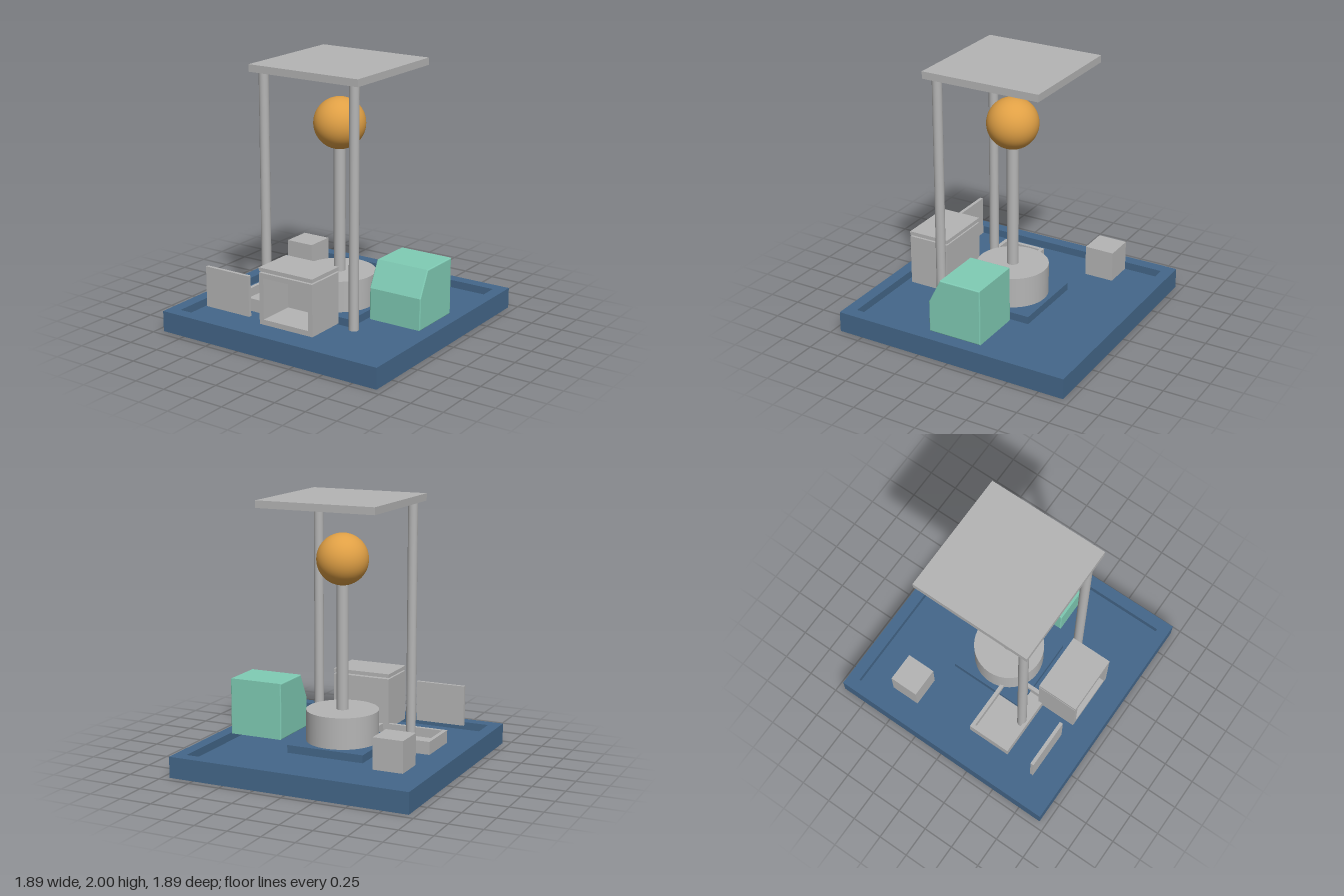
import * as THREE from 'three';

const material = (name, color) => {
  const m = new THREE.MeshStandardMaterial({ color });
  m.name = name;
  return m;
};

export function createModel() {
  const model = new THREE.Group();
  const blue = material('slate blue', 0x44678a);
  const grey = material('light grey', 0xb5b5b5);
  const mint = material('mint green', 0x80ccb5);
  const amber = material('amber', 0xe0a045);

  const add = (name, geometry, mat, parent = model) => {
    const mesh = new THREE.Mesh(geometry, mat);
    mesh.name = name;
    parent.add(mesh);
    return mesh;
  };
  const group = (name) => {
    const g = new THREE.Group();
    g.name = name;
    model.add(g);
    return g;
  };
  // Box given by its limits on each axis
  const box = (name, mat, [x0, x1], [y0, y1], [z0, z1], parent) =>
    add(name, new THREE.BoxGeometry(x1 - x0, y1 - y0, z1 - z0), mat, parent)
      .position.set((x0 + x1) / 2, (y0 + y1) / 2, (z0 + z1) / 2);
  const column = (name, r, y0, y1, x = 0, z = 0) =>
    add(name, new THREE.CylinderGeometry(r, r, y1 - y0, 40), grey).position.set(x, (y0 + y1) / 2, z);
  const rect = (Type, x0, x1, y0, y1) => new Type(
    [[x0, y0], [x1, y0], [x1, y1], [x0, y1]].map(([x, y]) => new THREE.Vector2(x, y)));
  // Rectangular rim, extruded along z from 0
  const frame = (outer, inner, depth) => {
    const shape = rect(THREE.Shape, ...outer);
    shape.holes.push(rect(THREE.Path, ...inner));
    return new THREE.ExtrudeGeometry(shape, { depth, bevelEnabled: false });
  };

  // Base with a sunken floor
  const base = group('base');
  const B = 0.945, R = 0.853;
  add('baseRim', frame([-B, B, -B, B], [-R, R, -R, R], 0.16).rotateX(-Math.PI / 2), blue, base);
  box('baseFloor', blue, [-R, R], [0, 0.1], [-R, R], base);
  box('plinth', blue, [-0.31, 0.31], [0.1, 0.16], [-0.31, 0.31], base);

  // Central pedestal, pole and ball
  column('pedestal', 0.275, 0.16, 0.4);
  column('pole', 0.045, 0.4, 1.35);
  add('ball', new THREE.SphereGeometry(0.195, 48, 32), amber).position.y = 1.54;

  // Roof on two front posts
  box('roof', grey, [-0.47, 0.47], [1.945, 2], [-0.47, 0.47]);
  for (const side of [-1, 1]) column('roofPost', 0.037, 0.13, 1.945, side * 0.392, 0.395);

  // Open-fronted cabinet with a lid held just above it
  const cabinet = group('cabinet');
  add('cabinetShell', frame([-0.195, 0.273, 0.16, 0.555], [-0.158, 0.236, 0.2, 0.518], 0.3), grey, cabinet)
    .position.z = 0.445;
  box('cabinetBack', grey, [-0.195, 0.273], [0.16, 0.555], [0.415, 0.445], cabinet);
  box('cabinetLid', grey, [-0.195, 0.273], [0.566, 0.595], [0.415, 0.747], cabinet);

  // Shallow open tray around the left post
  const tray = group('tray');
  add('trayWall', frame([-0.67, -0.12, -0.45, -0.093], [-0.64, -0.15, -0.42, -0.123], 0.1)
    .rotateX(-Math.PI / 2), grey, tray).position.y = 0.1;
  box('trayFloor', grey, [-0.64, -0.15], [0.1, 0.13], [0.123, 0.42], tray);

  // Loose block and upright panel
  box('block', grey, [-0.748, -0.515], [0.16, 0.397], [-0.592, -0.36]);
  box('panel', grey, [-0.71, -0.315], [0.178, 0.492], [0.69, 0.717]);

  // Housing with a sloped front and softened edges
  const e = 0.008;
  const profile = new THREE.Shape(
    [[-0.215 + e, 0.16 + e], [0.215 - e, 0.16 + e], [0.215 - e, 0.595 - e], [-0.12 + e, 0.595 - e], [-0.215 + e, 0.4]]
      .map(([x, y]) => new THREE.Vector2(x, y)));
  const housing = new THREE.ExtrudeGeometry(profile, {
    depth: 0.43 - 2 * e, bevelThickness: e, bevelSize: e, bevelSegments: 3,
  });
  add('housing', housing.rotateY(Math.PI / 2), mint).position.x = 0.412 + e;

  return model;
}
